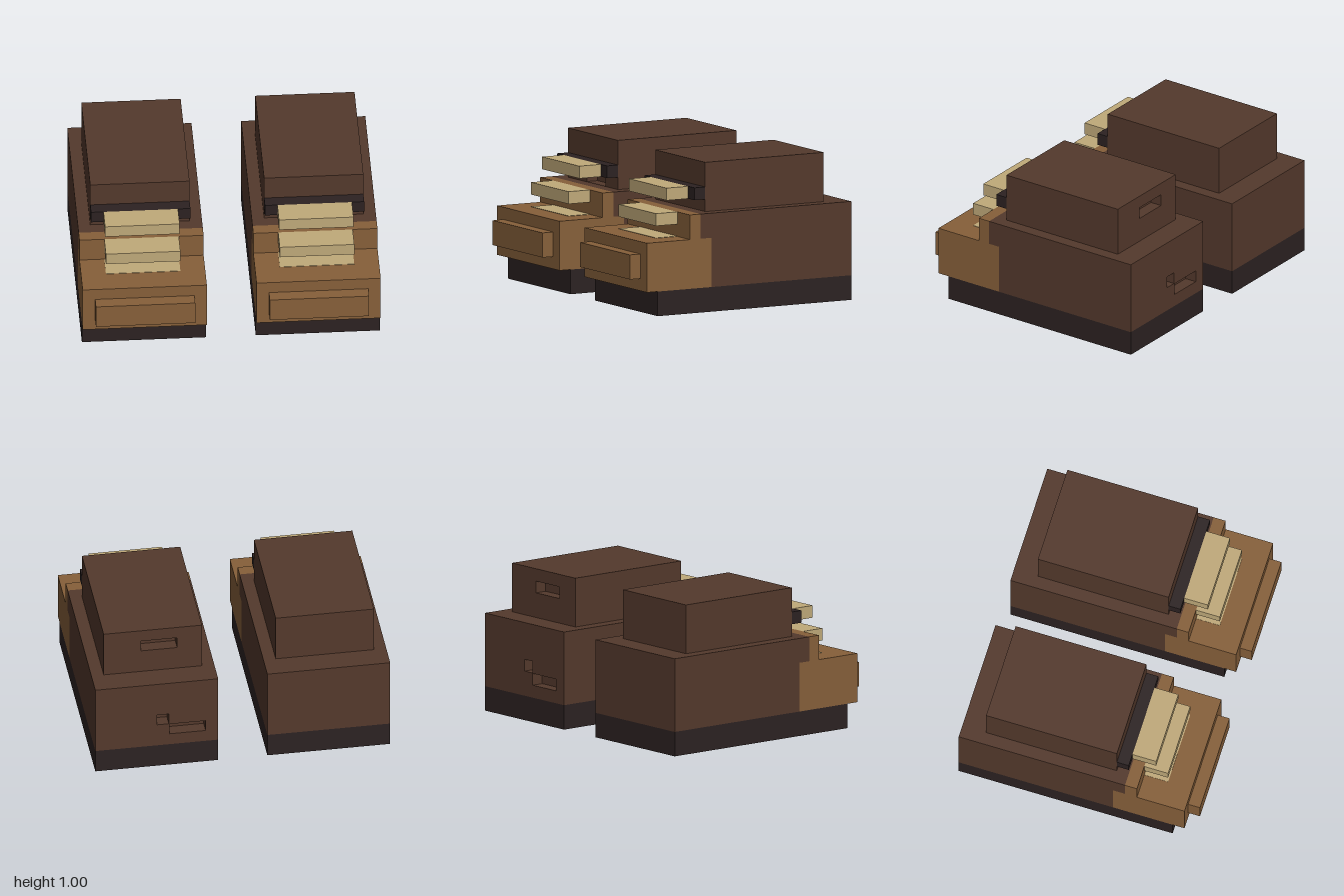
import * as THREE from 'three';

const U = 1 / 12; // block size of the grid

function flat(name, color) {
  const m = new THREE.MeshStandardMaterial({ color });
  m.name = name;
  return m;
}

// Box between grid limits
function block(parent, name, mat, [x0, x1], [y0, y1], [z0, z1]) {
  const g = new THREE.BoxGeometry((x1 - x0) * U, (y1 - y0) * U, (z1 - z0) * U);
  const m = new THREE.Mesh(g, mat);
  m.name = name;
  m.position.set((x0 + x1) / 2 * U, (y0 + y1) / 2 * U, (z0 + z1) / 2 * U);
  parent.add(m);
}

function trace(path, [x0, x1], [y0, y1]) {
  path.moveTo(x0 * U, y0 * U);
  path.lineTo(x1 * U, y0 * U);
  path.lineTo(x1 * U, y1 * U);
  path.lineTo(x0 * U, y1 * U);
  path.closePath();
  return path;
}

// One-block-thick layer with rectangular openings, starting at depth z
function layer(parent, name, mat, xs, ys, z, holes) {
  const s = trace(new THREE.Shape(), xs, ys);
  for (const [hx, hy] of holes) {
    s.holes.push(trace(new THREE.Path(), [hx[0] + 0.02, hx[1] - 0.02], [hy[0] + 0.02, hy[1] - 0.02]));
  }
  const m = new THREE.Mesh(new THREE.ExtrudeGeometry(s, { depth: U, bevelEnabled: false }), mat);
  m.name = name;
  m.position.z = z * U;
  parent.add(m);
  return m;
}

export function createModel() {
  const sole = flat('soleDark', 0x2c2222);
  const brown = flat('leatherBrown', 0x54392c);
  const caramel = flat('toeCaramel', 0x87603a);
  const tan = flat('laceTan', 0xc0aa7a);

  const model = new THREE.Group();
  model.name = 'boots';

  for (const side of [1, -1]) {
    const left = side > 0;
    const boot = new THREE.Group();
    boot.name = left ? 'leftBoot' : 'rightBoot';
    boot.position.x = side * 7 * U;
    model.add(boot);
    const wide = [-5, 5], narrow = [-4, 4], lace = [-3, 3];

    // Sole, with small worn openings under the left toe
    const tread = layer(boot, 'soleTread', sole, wide, [-10, 8], 0,
      left ? [[[2, 3], [3, 5]], [[1, 2], [2, 3]]] : []);
    tread.geometry.rotateX(Math.PI / 2);
    tread.position.y = U;
    block(boot, 'sole', sole, wide, [1, 2], [-10, 8]);
    if (left) block(boot, 'soleLining', caramel, [1, 3], [0.5, 1], [2, 5]);

    // Foot, with nicks in the left heel
    layer(boot, 'heel', brown, wide, [2, 8], -10,
      left ? [[[-1, 0], [4, 5]], [[-4, -1], [3, 4]]] : []);
    block(boot, 'foot', brown, wide, [2, 8], [-9, 3]);
    block(boot, 'instep', brown, wide, [6, 8], [3, 4]);

    // Shaft, nicked at the back on the left boot and the front on the right
    layer(boot, 'shaftBack', brown, narrow, [8, 12], -8, left ? [[[-2, 1], [10, 11]]] : []);
    block(boot, 'shaft', brown, narrow, [8, 12], [-7, 2]);
    layer(boot, 'shaftFront', brown, narrow, [8, 12], 2, left ? [] : [[[-1, 2], [8, 9]]]);

    // Toe box and cap
    block(boot, 'toeBox', caramel, wide, [2, 6], [3, 9]);
    block(boot, 'vamp', caramel, wide, [6, 8], [4, 5]);
    block(boot, 'toeCap', caramel, narrow, [3, 5], [9, 10]);

    // Laces
    block(boot, 'laceStrap', sole, narrow, [9, 10], [3, 4]);
    block(boot, 'upperLace', tan, lace, [9, 10], [4, 6]);
    block(boot, 'middleLace', tan, lace, [7, 8], [5, 7]);
    block(boot, 'lowerLace', tan, lace, [5.95, 6.03], [5, 7]);
  }
  return model;
}
